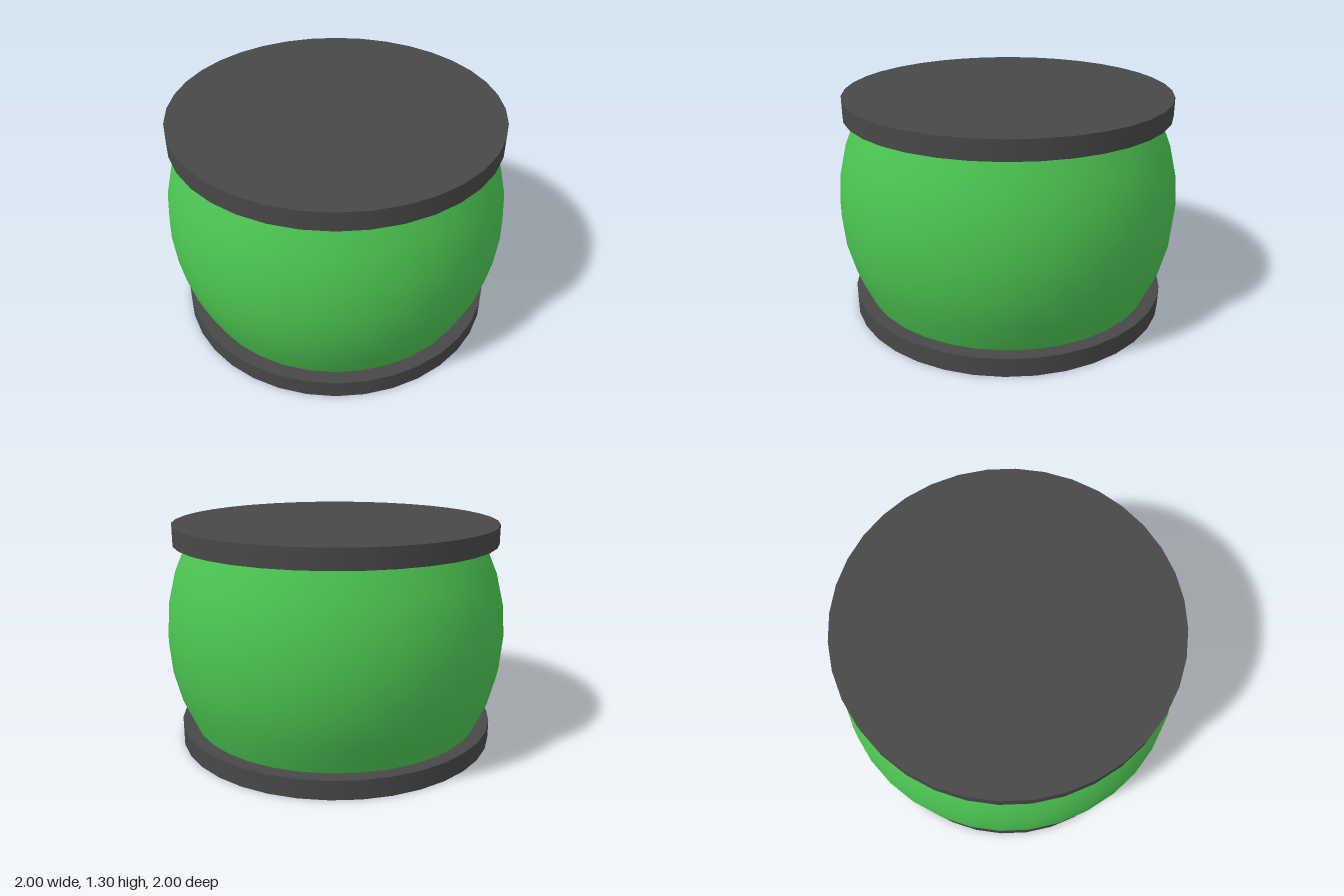
import * as THREE from 'three';

const SIDES = 36;
const HEIGHT = 1.3;
const PLATE = 0.11;

export function createModel() {
  const model = new THREE.Group();
  const green = new THREE.MeshStandardMaterial({ color: 0x4cc552 });
  const dark = new THREE.MeshStandardMaterial({ color: 0x484848 });

  // Bulging body: the middle band of a slightly stretched sphere
  const profile = [];
  for (let i = -3; i <= 3; i++) {
    const a = THREE.MathUtils.degToRad(i * 10);
    profile.push(new THREE.Vector2(Math.cos(a), Math.sin(a) * 1.08));
  }
  const body = new THREE.Mesh(new THREE.LatheGeometry(profile, SIDES), green);
  body.name = 'body';
  body.position.y = HEIGHT / 2;
  model.add(body);

  // Flat round plates closing both ends
  const plateGeometry = new THREE.CylinderGeometry(0.945, 0.945, PLATE, SIDES);
  for (const [name, y] of [['bottomPlate', PLATE / 2], ['topPlate', HEIGHT - PLATE / 2]]) {
    const plate = new THREE.Mesh(plateGeometry, dark);
    plate.name = name;
    plate.position.y = y;
    model.add(plate);
  }
  return model;
}
